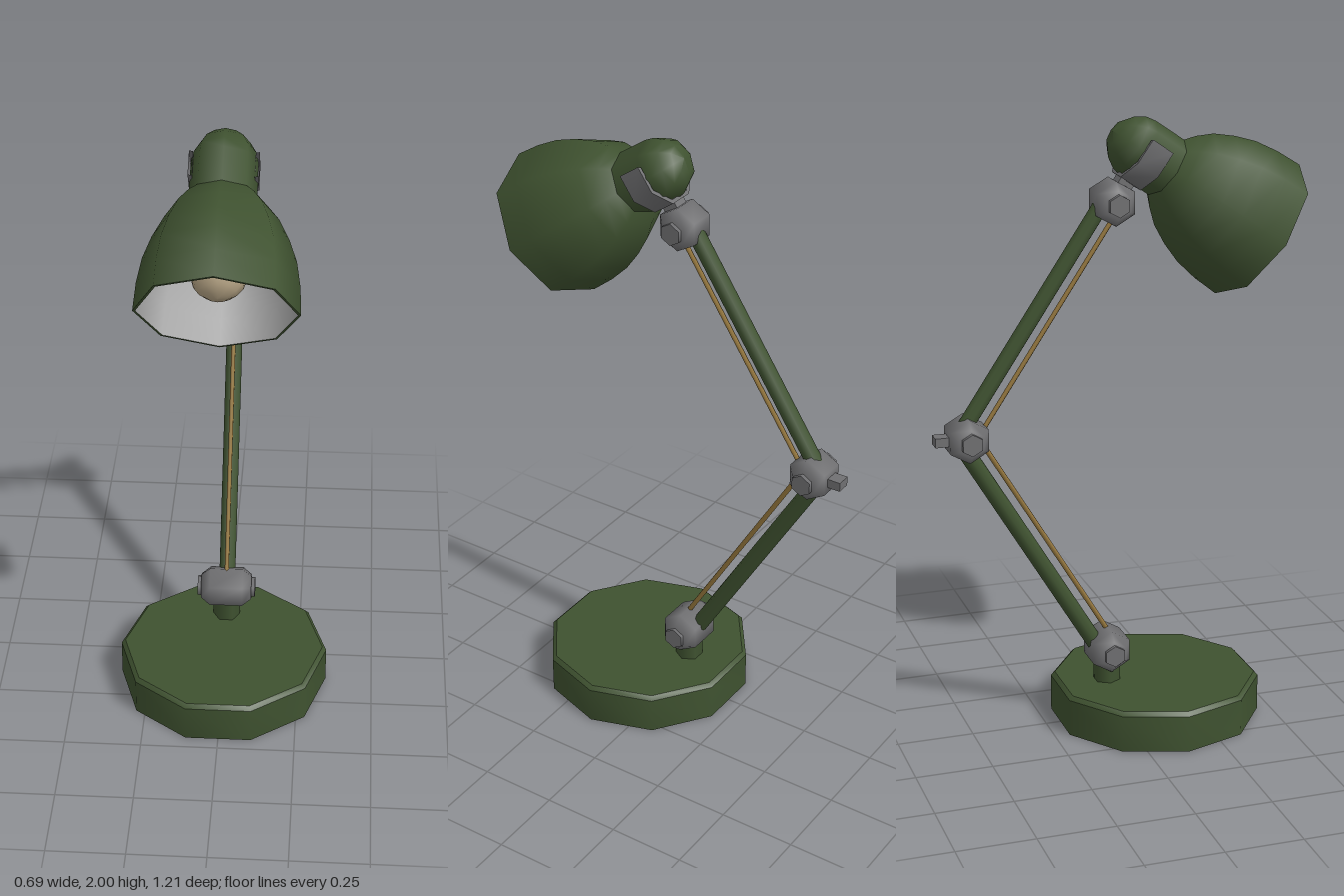
import * as THREE from 'three';
import { toCreasedNormals } from 'three/addons/utils/BufferGeometryUtils.js';

export function createModel() {
  const model = new THREE.Group();
  model.name = 'deskLamp';

  const mat = (name, color, side = THREE.FrontSide) => {
    const m = new THREE.MeshStandardMaterial({ color, side });
    m.name = name;
    return m;
  };
  const green = mat('greenPaint', 0x3f5230, THREE.DoubleSide);
  const metal = mat('greyMetal', 0x707072, THREE.DoubleSide);
  const lining = mat('shadeLining', 0xa6a6a6);
  const brass = mat('brass', 0x94763c);
  const glass = mat('bulbGlass', 0xb5a384);

  const add = (parent, name, geometry, material, x = 0, y = 0, z = 0) => {
    const mesh = new THREE.Mesh(geometry, material);
    mesh.name = name;
    mesh.position.set(x, y, z);
    parent.add(mesh);
    return mesh;
  };
  // profile points are [radius, height], listed upward for an outward surface
  const lathe = (pts, sides, start = 0, sweep = Math.PI * 2) =>
    new THREE.LatheGeometry(pts.map(p => new THREE.Vector2(...p)), sides, start, sweep);

  // Hollow ten-sided base with a chamfered top edge
  const base = lathe([[0.345, 0], [0.345, 0.122], [0.332, 0.135], [0, 0.135]], 10, Math.PI / 2);
  add(model, 'base', toCreasedNormals(base, 0.7), green, 0, 0, 0.127);

  // Short hexagonal post
  add(model, 'post', new THREE.CylinderGeometry(0.045, 0.045, 0.15, 6, 1, false, Math.PI / 2),
    green, 0, 0.175, -0.04);

  // Hexagonal joints lying along x, with a nut at each end
  const low = new THREE.Vector3(0, 0.25, -0.04);
  const mid = new THREE.Vector3(0, 1.015, -0.5);
  const top = new THREE.Vector3(0, 1.737, -0.02);
  const joint = (name, at, flat, end, nut) => {
    const g = new THREE.Group();
    g.name = name;
    g.position.copy(at);
    g.rotation.z = Math.PI / 2;
    add(g, 'jointBody', lathe([[0, -end], [0.045, -end], [0.071, -flat],
      [0.071, flat], [0.045, end], [0, end]], 6, Math.PI / 2), metal);
    add(g, 'jointNuts', new THREE.CylinderGeometry(0.036, 0.036, nut * 2, 6, 1, false, Math.PI / 2), metal);
    model.add(g);
  };
  joint('baseJoint', low, 0.055, 0.085, 0.097);
  joint('elbowJoint', mid, 0.042, 0.068, 0.082);
  joint('headJoint', top, 0.042, 0.068, 0.082);
  add(model, 'elbowPeg', new THREE.BoxGeometry(0.046, 0.03, 0.11), metal, 0, 1.015, -0.55);

  // Arms: a green tube behind and a thin brass rod in front of each joint line
  const bar = (name, from, to, offset, radius, sides, material) => {
    const dir = to.clone().sub(from);
    const length = dir.length();
    dir.normalize();
    const back = new THREE.Vector3(0, dir.z, -dir.y).multiplyScalar(offset);
    const mesh = add(model, name, new THREE.CylinderGeometry(radius, radius, length, sides), material);
    mesh.position.copy(from).add(to).multiplyScalar(0.5).add(back);
    mesh.quaternion.setFromUnitVectors(new THREE.Vector3(0, 1, 0), dir);
  };
  for (const [name, from, to] of [['lower', low, mid], ['upper', mid, top]]) {
    bar(name + 'ArmTube', from, to, 0.025, 0.027, 8, green);
    bar(name + 'ArmRod', from, to, -0.032, 0.008, 6, brass);
  }

  // Lamp head: local y runs from the rim centre back along the shade axis
  const head = new THREE.Group();
  head.name = 'lampHead';
  head.position.set(0, 1.617, 0.465);
  head.rotation.x = -0.957;
  model.add(head);

  const bell = [[0.243, 0], [0.238, 0.09], [0.225, 0.17], [0.201, 0.24],
    [0.169, 0.305], [0.132, 0.35], [0.1, 0.378]];
  add(head, 'shade', lathe(bell, 8), green);
  const inner = bell.map(([r, y]) => [r - 0.008, y]).reverse();
  inner.unshift([0, 0.378]);
  add(head, 'shadeLining', lathe(inner, 8), lining);
  add(head, 'shadeRim', lathe([[0.235, 0], [0.243, 0]], 8), green);

  // Socket housing with a domed end
  add(head, 'socketHousing', lathe([[0.102, 0.34], [0.1, 0.49], [0.094, 0.523],
    [0.075, 0.555], [0.045, 0.58], [0, 0.59]], 8), green);

  // Strap under the housing and its link to the head joint
  const eighth = Math.PI / 4;
  const strap = lathe([[0.1, 0.423], [0.113, 0.423], [0.113, 0.503], [0.1, 0.503], [0.1, 0.423]],
    5, eighth * 1.5, eighth * 5);
  add(head, 'housingStrap', toCreasedNormals(strap, 0.9), metal);
  add(head, 'strapLink', new THREE.BoxGeometry(0.05, 0.05, 0.08), metal, 0, 0.468, -0.135);

  // Bulb: round end with a neck running into the socket
  const bulb = [];
  for (let i = 0; i <= 7; i++) {
    const a = -Math.PI / 2 + i * 0.36;
    bulb.push([Math.max(0, 0.087 * Math.cos(a)), 0.13 + 0.087 * Math.sin(a)]);
  }
  bulb.push([0.046, 0.24], [0.044, 0.375]);
  add(head, 'bulb', lathe(bulb, 10), glass);

  return model;
}
